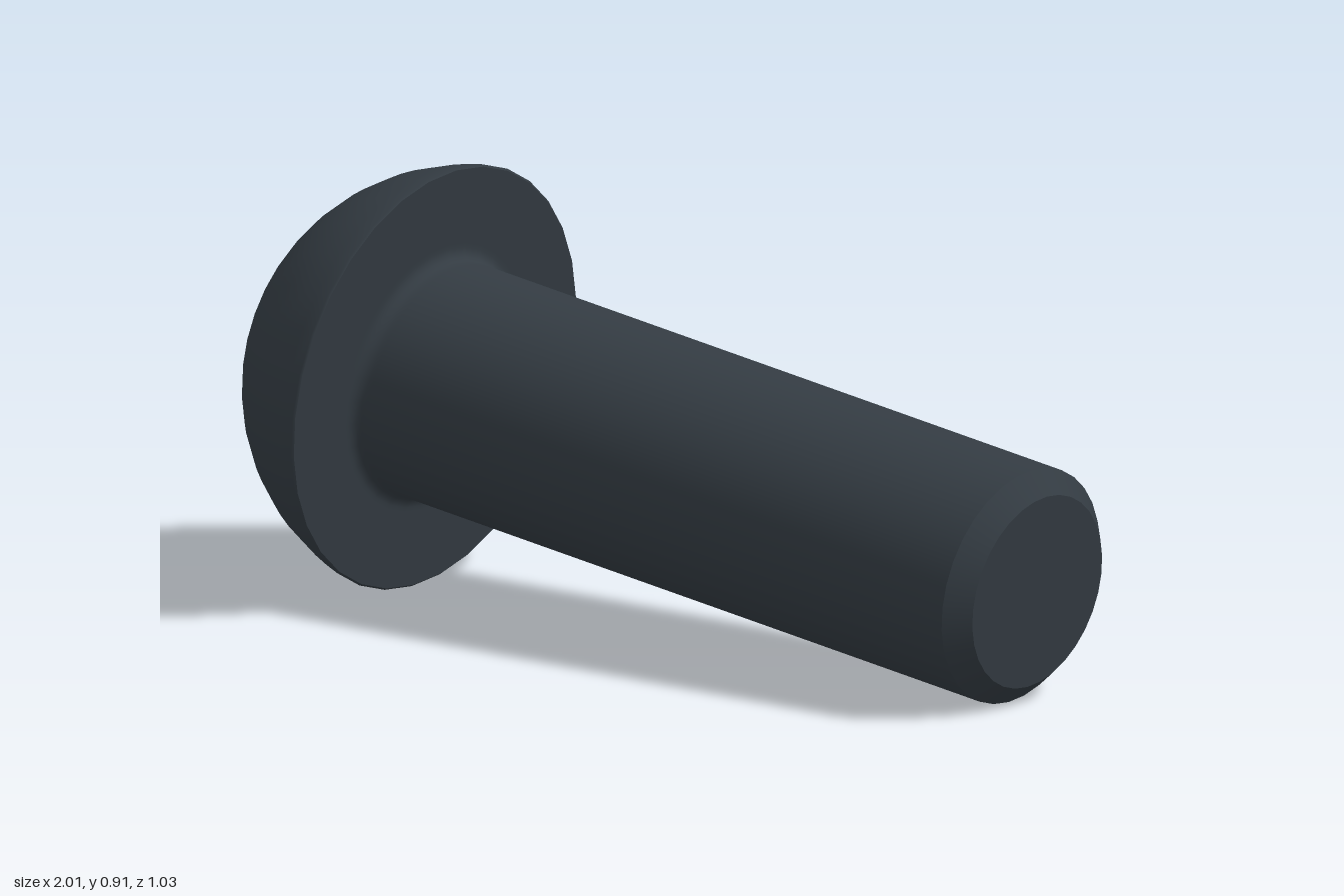
import * as THREE from 'three';

const SEGMENTS = 32;
const HEAD_R = 0.461, HEAD_H = 0.31, FLAT_R = 0.25;
const SHANK_R = 0.256, TIP_R = 0.21, LENGTH = 1.642, CHAMFER = 0.045, FILLET = 0.026;
const RECESS_R = 0.18, HEX_R = 0.178, FLOOR_Y = 0.11;

// Flat-shaded strip of quads between rings, facing the axis when listed top to bottom
function loft(rings) {
  const pos = [];
  for (let r = 0; r < rings.length - 1; r++) {
    const a = rings[r], b = rings[r + 1];
    for (let i = 0; i < a.length; i++) {
      const j = (i + 1) % a.length;
      pos.push(...a[i], ...b[i], ...a[j], ...a[j], ...b[i], ...b[j]);
    }
  }
  const g = new THREE.BufferGeometry();
  g.setAttribute('position', new THREE.Float32BufferAttribute(pos, 3));
  g.computeVertexNormals();
  return g;
}

// Hexagonal floor of the recess, facing the open mouth
function hexFloor() {
  return new THREE.CircleGeometry(HEX_R, 6).rotateX(-Math.PI / 2).translate(0, FLOOR_Y, 0);
}

export function createModel() {
  const steel = new THREE.MeshStandardMaterial({ color: 0x333b42 });
  steel.name = 'dark steel';
  const bolt = new THREE.Group();
  bolt.name = 'bolt';

  const add = (name, geometry) => {
    const mesh = new THREE.Mesh(geometry, steel);
    mesh.name = name;
    bolt.add(mesh);
  };
  const turn = (name, points) =>
    add(name, new THREE.LatheGeometry(points.map(([x, y]) => new THREE.Vector2(x, y)), SEGMENTS));

  // Flat end and its chamfer
  turn('tipFace', [[0, -LENGTH], [TIP_R, -LENGTH]]);
  turn('tipChamfer', [[TIP_R, -LENGTH], [SHANK_R, -LENGTH + CHAMFER]]);

  // Shank, flowing through a fillet into the underside of the head
  const shank = [[SHANK_R, -LENGTH + CHAMFER], [SHANK_R, -FILLET - 0.01]];
  for (let i = 0; i <= 4; i++) {
    const a = (i / 4) * Math.PI / 2;
    shank.push([SHANK_R + FILLET * (1 - Math.cos(a)), -FILLET + FILLET * Math.sin(a)]);
  }
  shank.push([SHANK_R + FILLET + 0.01, 0], [HEAD_R - 0.004, 0]);
  turn('shank', shank);

  // Domed head: a spherical arc from the rim to the flat crown
  const c = (HEAD_H ** 2 + FLAT_R ** 2 - HEAD_R ** 2) / (2 * HEAD_H);
  const radius = Math.hypot(HEAD_R, c);
  const a0 = Math.atan2(-c, HEAD_R), a1 = Math.atan2(HEAD_H - c, FLAT_R);
  const dome = [[HEAD_R - 0.004, 0]];
  for (let i = 0; i <= 10; i++) {
    const a = a0 + (a1 - a0) * (i / 10);
    dome.push([radius * Math.cos(a), Math.max(c + radius * Math.sin(a), 0.004)]);
  }
  dome.push([FLAT_R - 0.015, HEAD_H], [RECESS_R, HEAD_H]);
  turn('head', dome);

  // Hexagonal recess whose mouth is cut by a shallow cone
  const n = 96, mouth = [], edge = [], foot = [];
  for (let i = 0; i < n; i++) {
    const a = (i / n) * Math.PI * 2;
    const fromFlat = ((i % (n / 6)) / n) * Math.PI * 2 - Math.PI / 6;
    const r = HEX_R * Math.cos(Math.PI / 6) / Math.cos(fromFlat);
    const x = Math.cos(a), z = Math.sin(a);
    mouth.push([x * RECESS_R, HEAD_H, z * RECESS_R]);
    edge.push([x * r, HEAD_H - (RECESS_R - r), z * r]);
    foot.push([x * r, FLOOR_Y, z * r]);
  }
  add('recessMouth', loft([mouth, edge]));
  add('recessWalls', loft([edge, foot]));
  add('recessFloor', hexFloor());

  // Lay the bolt along its tilted axis, recess corner upward
  const up = new THREE.Vector3(-0.9701, 0.1271, -0.2066).normalize();
  const side = new THREE.Vector3(0, 1, 0).addScaledVector(up, -up.y).normalize();
  const third = new THREE.Vector3().crossVectors(side, up);
  bolt.quaternion.setFromRotationMatrix(new THREE.Matrix4().makeBasis(side, up, third));
  bolt.position.set(-0.643, 0.458, -0.065);

  const model = new THREE.Group();
  model.name = 'model';
  model.add(bolt);
  return model;
}
